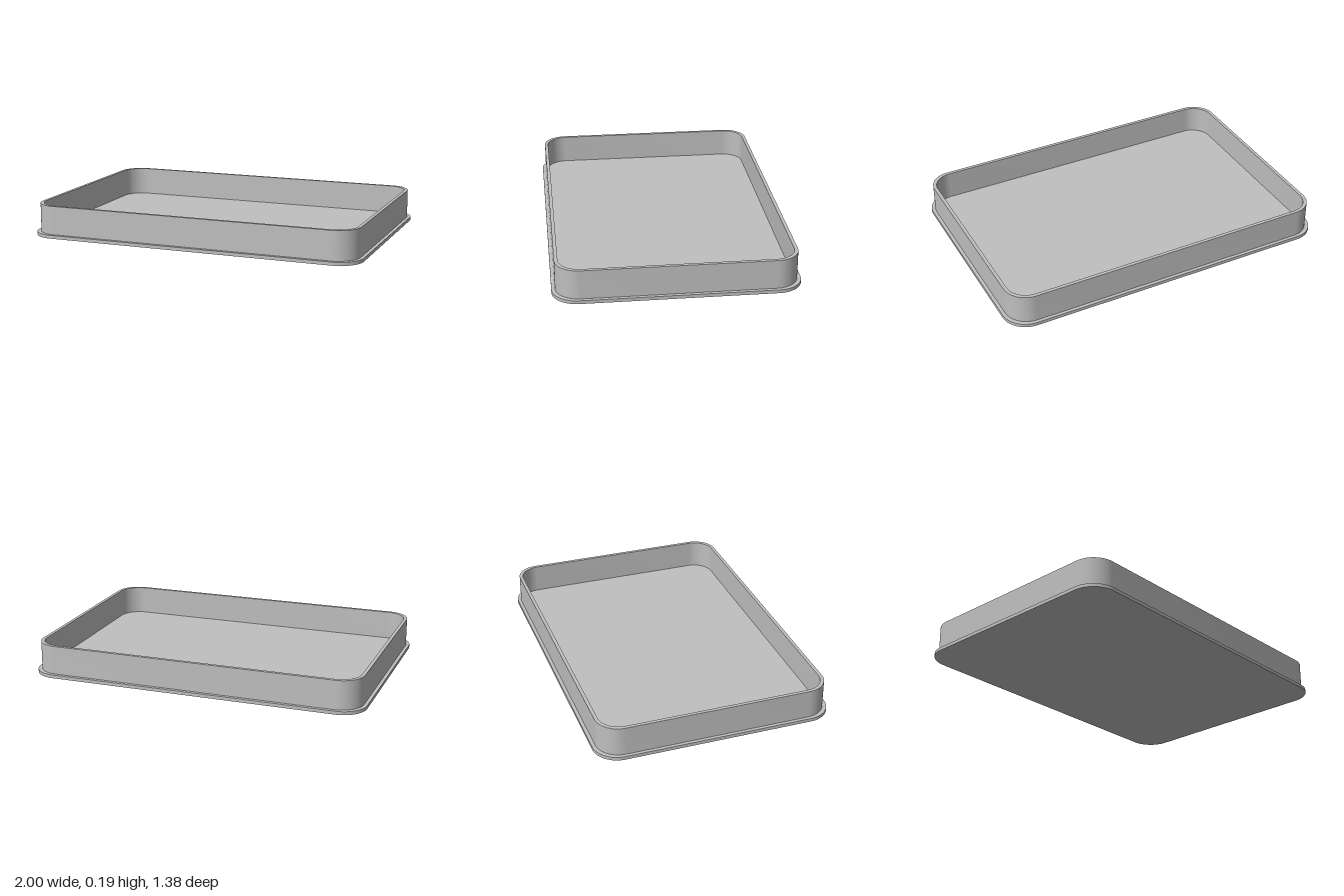
import * as THREE from 'three';
import { toCreasedNormals } from 'three/addons/utils/BufferGeometryUtils.js';

// Trace a rounded rectangle of half-width w, half-depth d and corner radius r
function roundedRect(path, w, d, r) {
  path.moveTo(w, -d + r);
  path.absarc(w - r, d - r, r, 0, Math.PI / 2);
  path.absarc(-w + r, d - r, r, Math.PI / 2, Math.PI);
  path.absarc(-w + r, -d + r, r, Math.PI, Math.PI * 1.5);
  path.absarc(w - r, -d + r, r, Math.PI * 1.5, Math.PI * 2);
  return path;
}

// Extrude a plan outline upward, from y to y + height
function slab(name, shape, y, height, material) {
  const extruded = new THREE.ExtrudeGeometry(shape, { depth: height, bevelEnabled: false, curveSegments: 16 });
  extruded.rotateX(-Math.PI / 2).translate(0, y, 0);
  const mesh = new THREE.Mesh(toCreasedNormals(extruded, Math.PI / 6), material);
  mesh.name = name;
  return mesh;
}

export function createModel() {
  const group = new THREE.Group();
  group.name = 'tray';
  const grey = new THREE.MeshStandardMaterial({ color: 0xbfbfbf });
  grey.name = 'grey';

  const baseHeight = 0.02, totalHeight = 0.19;

  // Flat base plate, projecting past the wall as a thin flange
  const base = roundedRect(new THREE.Shape(), 1, 0.692, 0.145);
  group.add(slab('basePlate', base, 0, baseHeight, grey));

  // Thin upright wall, open at the top
  const wall = roundedRect(new THREE.Shape(), 0.98, 0.672, 0.135);
  wall.holes.push(roundedRect(new THREE.Path(), 0.96, 0.652, 0.12));
  group.add(slab('rimWall', wall, baseHeight, totalHeight - baseHeight, grey));

  return group;
}
